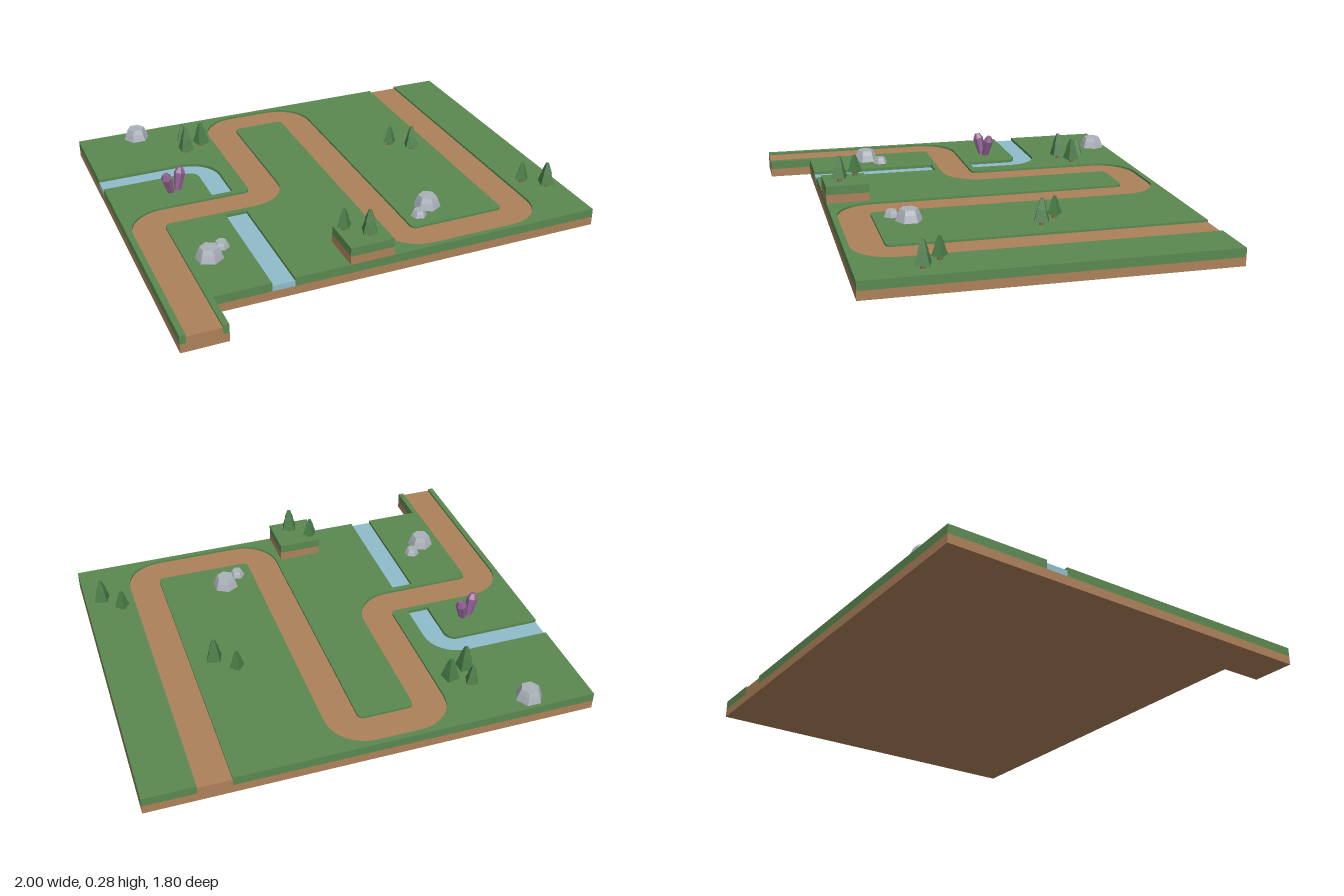
import * as THREE from 'three';

const mat = (color, flatShading = false) => new THREE.MeshStandardMaterial({ color, flatShading });

// Offsets a polyline with rounded corners to both sides; shape y is -z
function ribbon(points, half, radius = 0.1, steps = 8) {
  const P = points.map(p => new THREE.Vector2(...p));
  const left = [], right = [];
  const add = (p, t) => {
    left.push([p.x - t.y * half, p.y + t.x * half]);
    right.push([p.x + t.y * half, p.y - t.x * half]);
  };
  const dir = i => P[i + 1].clone().sub(P[i]).normalize();
  const last = P.length - 1;
  add(P[0], dir(0));
  for (let i = 1; i < last; i++) {
    const a = dir(i - 1), b = dir(i);
    const c = P[i].clone().addScaledVector(b, radius).addScaledVector(a, -radius);
    for (let k = 0; k <= steps; k++) {
      const t = (k / steps) * Math.PI / 2, cos = Math.cos(t), sin = Math.sin(t);
      add(c.clone().addScaledVector(b, -radius * cos).addScaledVector(a, radius * sin),
        a.clone().multiplyScalar(cos).addScaledVector(b, sin));
    }
  }
  add(P[last], dir(last - 1));
  return { left, right, outline: [...left, ...right.slice().reverse()] };
}

export function createModel() {
  const model = new THREE.Group();
  model.name = 'landscapeBoard';
  const grass = mat(0x5a8850), dirt = mat(0xad815a), water = mat(0x90bccb);
  const leaf = mat(0x487a45, true), trunk = mat(0x8f6646, true);
  const stone = mat(0xabb1ba, true), purple = mat(0x8f5f92, true);

  // Horizontal slab from an outline, between two heights
  const slab = (name, outline, y0, y1, material) => {
    const shape = new THREE.Shape(outline.map(p => new THREE.Vector2(...p)));
    const geo = new THREE.ExtrudeGeometry(shape, { depth: y1 - y0, bevelEnabled: false });
    geo.rotateX(-Math.PI / 2);
    const mesh = new THREE.Mesh(geo, material);
    mesh.name = name;
    mesh.position.y = y0;
    model.add(mesh);
  };
  // Faceted turned solid from a short radius/height profile
  const faceted = (name, profile, sides, material) => {
    const geo = new THREE.LatheGeometry(profile.map(p => new THREE.Vector2(...p)), sides);
    const mesh = new THREE.Mesh(geo, material);
    mesh.name = name;
    return mesh;
  };

  // Base, winding path and river
  const road = ribbon([[-0.9, -0.9], [-0.9, 0], [-0.3, 0], [-0.3, 0.8], [0.1, 0.8],
    [0.1, -0.6], [0.7, -0.6], [0.7, 0.9]], 0.074);
  const upperRiver = ribbon([[-1, 0.4], [-0.5, 0.4], [-0.5, 0.1]], 0.05);
  const lowerRiver = ribbon([[-0.5, -0.1], [-0.5, -0.7]], 0.05);
  slab('dirtBase', [[-1, -0.9], [-0.8, -0.9], [-0.8, -0.7], [1, -0.7], [1, 0.9], [-1, 0.9]], 0, 0.04, dirt);
  slab('path', road.outline, 0.04, 0.07, dirt);
  slab('upperRiver', upperRiver.outline, 0.04, 0.066, water);
  slab('lowerRiver', lowerRiver.outline, 0.04, 0.066, water);

  // Grass on both sides of the path, with inlets for the river
  slab('grassLeftOfPath', [...road.left, [-1, 0.9], ...upperRiver.outline, [-1, -0.9]], 0.04, 0.08, grass);
  slab('grassRightOfPath', [...road.right, [1, 0.9], [1, -0.7], [-0.45, -0.7], [-0.45, -0.1],
    [-0.55, -0.1], [-0.55, -0.7], [-0.8, -0.7], [-0.8, -0.9]], 0.04, 0.08, grass);

  // Raised block
  const square = [[-0.2, -0.7], [0, -0.7], [0, -0.5], [-0.2, -0.5]];
  slab('raisedDirt', square, 0.08, 0.12, dirt);
  slab('raisedGrass', square, 0.12, 0.16, grass);

  // Trees: x, z, ground, height, radius, turn
  const trees = [
    [-0.52, -0.675, 0.08, 0.1, 0.037, 0.45], [-0.53, -0.575, 0.08, 0.13, 0.045, 0.78], [-0.44, -0.62, 0.08, 0.12, 0.043, 1.0],
  ];
  for (const [x, z, y] of [[0.435, -0.255, 0.08], [0.84, 0.345, 0.08], [-0.165, 0.545, 0.16]]) {
    trees.push([x, z, y, 0.1, 0.036, 0.1], [x + 0.083, z + 0.083, y, 0.12, 0.044, 0.45]);
  }
  for (const [x, z, y, h, r, turn] of trees) {
    const tree = new THREE.Group();
    tree.name = 'tree';
    const stem = faceted('trunk', [[0.011, 0], [0.011, 0.022]], 6, trunk);
    const crown = faceted('crown', [[0, 0.018], [r, 0.018], [r * 0.56, h * 0.6],
      [r * 0.64, h * 0.6], [r * 0.2, h], [0, h]], 4, leaf);
    crown.rotation.y = turn;
    tree.add(stem, crown);
    tree.position.set(x, y, z);
    model.add(tree);
  }

  // Rocks: x, z, radius, height, turn
  for (const [x, z, r, h, turn] of [
    [-0.72, -0.83, 0.062, 0.054, Math.PI / 2], [-0.725, 0.415, 0.062, 0.054, 0.1], [-0.652, 0.35, 0.037, 0.029, 0.1],
    [0.323, 0.375, 0.062, 0.054, 0], [0.248, 0.44, 0.037, 0.029, 0.3],
  ]) {
    const rock = faceted('rock', [[r, 0], [r * 0.82, h * 0.6], [r * 0.66, h], [0, h]], 6, stone);
    rock.position.set(x, 0.08, z);
    rock.rotation.y = turn;
    model.add(rock);
  }

  // Leaning crystals: base x, z and lean direction
  for (const [x, z, s] of [[-0.717, -0.207, -1], [-0.68, -0.218, 1]]) {
    const crystal = faceted('crystal', [[0.016, -0.004], [0.027, 0.082], [0.013, 0.108], [0, 0.108]], 6, purple);
    crystal.position.set(x, 0.08, z);
    crystal.rotation.set(-0.16 * s, 0, -0.22 * s);
    model.add(crystal);
  }
  return model;
}
